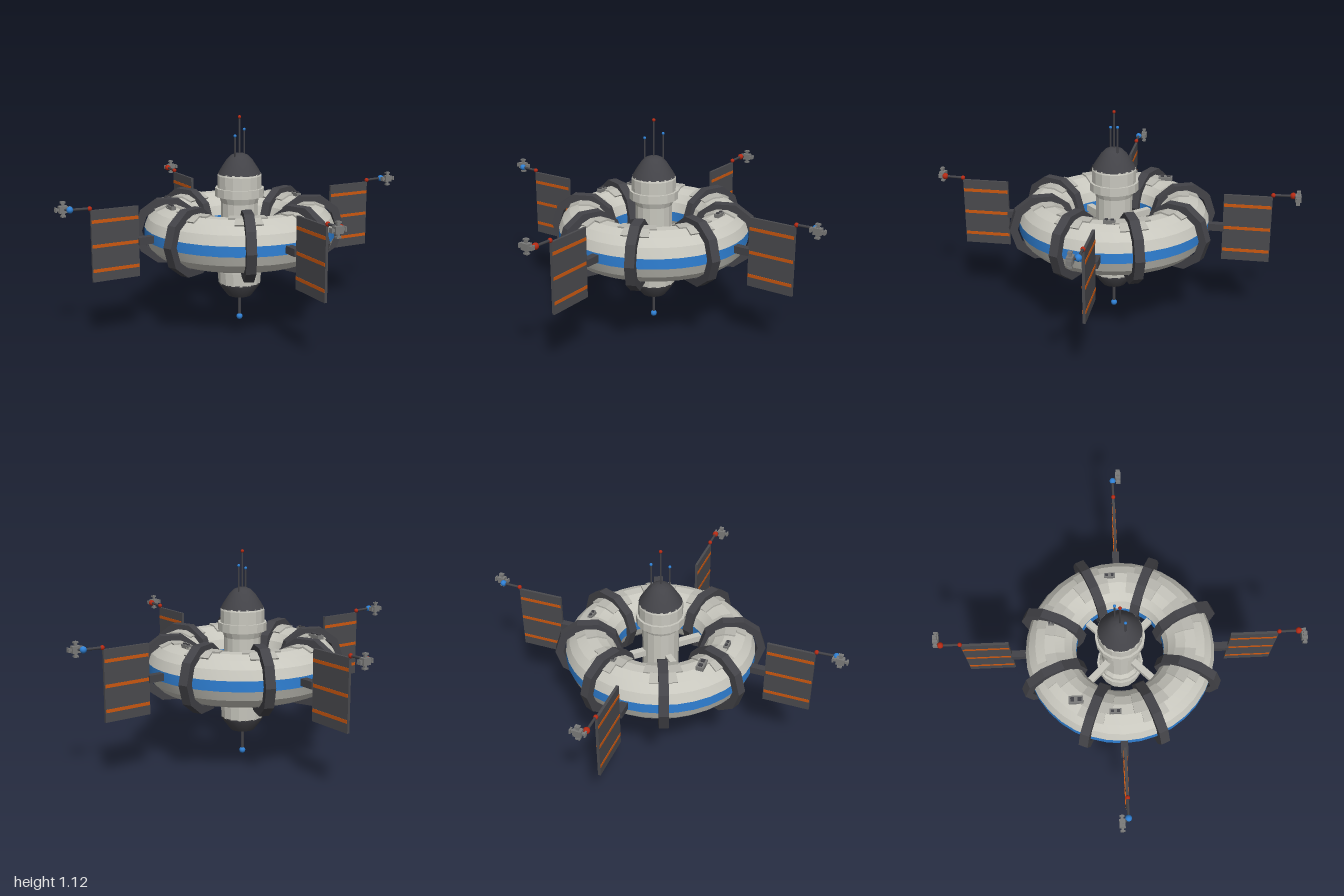
import * as THREE from 'three';
import { toCreasedNormals } from 'three/addons/utils/BufferGeometryUtils.js';

const mat = (name, color, extra = {}) => {
  const m = new THREE.MeshStandardMaterial({ color, ...extra });
  m.name = name;
  return m;
};

const CY = 0.51;      // height of the ring plane
const MAJOR = 0.371;  // ring radius
const MINOR = 0.138;  // ring tube radius

export function createModel() {
  const root = new THREE.Group();
  root.name = 'spaceStation';
  const hull = mat('hull', 0xc8c7be);
  const plate = mat('plate', 0xb9b8b0);
  const dark = mat('darkMetal', 0x434348);
  const cell = mat('solarCell', 0x4a4a4e);
  const grey = mat('greyMetal', 0x7b7b7a);
  const blue = mat('blue', 0x2f80d4);
  const orange = mat('orange', 0xcc5810);
  const red = mat('red', 0xb52a14);

  const add = (parent, name, geo, material, x = 0, y = 0, z = 0) => {
    const m = new THREE.Mesh(geo, material);
    m.name = name;
    m.position.set(x, y, z);
    parent.add(m);
    return m;
  };
  const box = (p, name, w, h, d, material, x, y, z) =>
    add(p, name, new THREE.BoxGeometry(w, h, d), material, x, y, z);
  const ball = (p, name, r, material, x, y, z) =>
    add(p, name, new THREE.SphereGeometry(r, 12, 8), material, x, y, z);
  const rod = (p, name, r, a, b, material) => {
    const from = new THREE.Vector3(...a), to = new THREE.Vector3(...b);
    const dir = to.clone().sub(from);
    const m = add(p, name, new THREE.CylinderGeometry(r, r, dir.length(), 8), material);
    m.position.copy(from).add(to).multiplyScalar(0.5);
    m.quaternion.setFromUnitVectors(new THREE.Vector3(0, 1, 0), dir.normalize());
    return m;
  };
  const lathe = (p, name, pts, segs, material, crease = 0.3, start = 0, len = Math.PI * 2) =>
    add(p, name, toCreasedNormals(new THREE.LatheGeometry(
      pts.map(([r, y]) => new THREE.Vector2(r, y)), segs, start, len), crease), material);

  // Habitat ring: sixteen-sided tube, blue on the outer and inner faces
  const ring = new THREE.Group();
  ring.name = 'habitatRing';
  ring.position.y = CY;
  root.add(ring);
  const ringPoint = (i, r = MINOR) => {
    const a = (i + 0.5) * Math.PI / 8;
    return [MAJOR + Math.cos(a) * r, Math.sin(a) * r];
  };
  const band = (i0, i1, r) => {
    const pts = [];
    for (let i = i0; i <= i1; i++) pts.push(ringPoint(i, r));
    return pts;
  };
  lathe(ring, 'ringTop', band(0, 7), 36, hull);
  lathe(ring, 'ringBottom', band(8, 15), 36, hull);
  lathe(ring, 'outerBlueBand', band(-1, 0), 36, blue);
  lathe(ring, 'innerBlueBand', band(7, 8), 36, blue);

  // Clamps around the tube, with raised hull plates beneath them
  for (let k = 0; k < 8; k++) {
    const a = (k + 0.5) * Math.PI / 4;
    const bay = new THREE.Group();
    bay.name = 'ringBay';
    bay.rotation.y = a;
    ring.add(bay);

    const outline = new THREE.Shape(), hole = new THREE.Path();
    for (let i = 0; i < 10; i++) {
      const t = i * Math.PI / 5, c = Math.cos(t), s = Math.sin(t);
      outline[i ? 'lineTo' : 'moveTo'](c * 0.18, s * 0.18);
      hole[i ? 'lineTo' : 'moveTo'](c * 0.138, s * 0.138);
    }
    outline.holes.push(hole);
    const clamp = new THREE.ExtrudeGeometry(outline, { depth: 0.05, bevelEnabled: false });
    add(bay, 'clamp', clamp, dark, MAJOR + 0.012, 0, -0.025);

    const wide = [...band(3, 5, MINOR + 0.009), ringPoint(5), ringPoint(3), ringPoint(3, MINOR + 0.009)];
    const narrow = [...band(2, 3, MINOR + 0.009), ringPoint(3), ringPoint(2), ringPoint(2, MINOR + 0.009)];
    const plates = [[wide, 0.25], [narrow, 0.16]];
    for (const [pts, half] of plates) {
      lathe(bay, 'hullPlate', pts, 4, plate, 0.3, Math.PI / 2 - half, half * 2);
      // end caps of the plate
      for (const s of [-1, 1]) {
        const cap = new THREE.Shape(pts.map(([r, y]) => new THREE.Vector2(r, y)));
        const m = add(bay, 'plateEnd', new THREE.ShapeGeometry(cap), plate);
        m.material = plateSided;
        m.rotation.y = s * half;
      }
    }
  }

  // Small equipment boxes on top of the ring
  for (const [x, z, w, d] of [[-0.31, -0.24, 0.04, 0.075], [-0.38, -0.04, 0.025, 0.06],
    [0.38, -0.04, 0.025, 0.06], [0.12, -0.36, 0.03, 0.03]]) {
    box(ring, 'equipmentBox', w, 0.022, d, grey, x, 0.143, z);
    for (const s of [-1, 1]) box(ring, 'equipmentHatch', w * 0.5, 0.01, d * 0.25, dark, x, 0.156, z + s * d * 0.25);
  }

  // Central hub and its dark caps
  const hub = new THREE.Group();
  hub.name = 'hub';
  root.add(hub);
  lathe(hub, 'hubBody', [[0.115, 0.215], [0.118, 0.285], [0.128, 0.285], [0.128, 0.332], [0.115, 0.332],
    [0.115, 0.36], [0.098, 0.385], [0.098, 0.655], [0.11, 0.69], [0.13, 0.69], [0.13, 0.735],
    [0.118, 0.735], [0.118, 0.8], [0.113, 0.812]], 16, hull);
  lathe(hub, 'topDome', [[0.115, 0.808], [0.1, 0.835], [0.068, 0.884], [0.045, 0.907],
    [0.02, 0.917], [0, 0.918]], 20, dark, 0.6);
  lathe(hub, 'bottomCap', [[0, 0.13], [0.035, 0.132], [0.065, 0.142], [0.112, 0.205], [0.115, 0.218]], 20, dark, 0.5);
  for (let k = 0; k < 4; k++) {
    const a = (k + 0.5) * Math.PI / 2;
    const spoke = box(root, 'spoke', 0.2, 0.035, 0.035, hull, Math.cos(a) * 0.175, CY, -Math.sin(a) * 0.175);
    spoke.rotation.y = a;
  }

  // Antennas
  for (const [x, z, top, r, c] of [[0, 0, 1.107, 0.009, red], [-0.04, 0.025, 1.012, 0.008, blue], [0.042, -0.025, 1.037, 0.008, blue]]) {
    rod(hub, 'antenna', 0.0045, [x, 0.86, z], [x, top, z], dark);
    ball(hub, 'antennaTip', r, c, x, top, z);
  }
  rod(hub, 'lowerAntenna', 0.008, [0, 0.14, 0], [0, 0.018, 0], dark);
  ball(hub, 'lowerAntennaTip', 0.017, blue, 0, 0.017, 0);

  // Four solar wings, each with a jointed boom carrying a small probe
  for (let k = 0; k < 4; k++) {
    const wing = new THREE.Group();
    wing.name = 'solarWing';
    wing.rotation.y = -k * Math.PI / 2;
    root.add(wing);
    box(wing, 'wingMount', 0.09, 0.038, 0.038, dark, 0.54, CY, 0);
    box(wing, 'solarPanel', 0.25, 0.365, 0.014, cell, 0.705, CY, 0);
    for (const y of [-0.125, 0, 0.125])
      box(wing, 'panelStripe', 0.244, 0.017, 0.018, orange, 0.705, CY + y, 0);
    rod(wing, 'boom', 0.007, [0.825, 0.702, 0], [0.935, 0.705, 0], dark);
    ball(wing, 'boomElbow', 0.012, red, 0.832, 0.702, 0);
    ball(wing, 'boomJoint', 0.017, k % 2 ? red : blue, 0.932, 0.705, 0);
    rod(wing, 'probeLink', 0.006, [0.932, 0.705, 0], [0.96, 0.705, 0.03], dark);

    const probe = new THREE.Group();
    probe.name = 'probe';
    probe.position.set(0.957, 0.705, 0.031);
    probe.rotation.y = k * Math.PI / 2;
    wing.add(probe);
    box(probe, 'probeBody', 0.042, 0.034, 0.03, grey, 0, 0, 0);
    box(probe, 'probeCrossbar', 0.084, 0.012, 0.012, grey, 0, 0, 0);
    box(probe, 'probeMast', 0.014, 0.08, 0.012, grey, 0, 0, 0);
    for (const s of [-1, 1]) {
      box(probe, 'probeSideFin', 0.008, 0.022, 0.024, grey, s * 0.036, 0, 0);
      box(probe, 'probeEndFin', 0.024, 0.008, 0.02, grey, 0, s * 0.034, 0);
    }
  }
  return root;
}

const plateSided = mat('plate', 0xb9b8b0, { side: THREE.DoubleSide });
